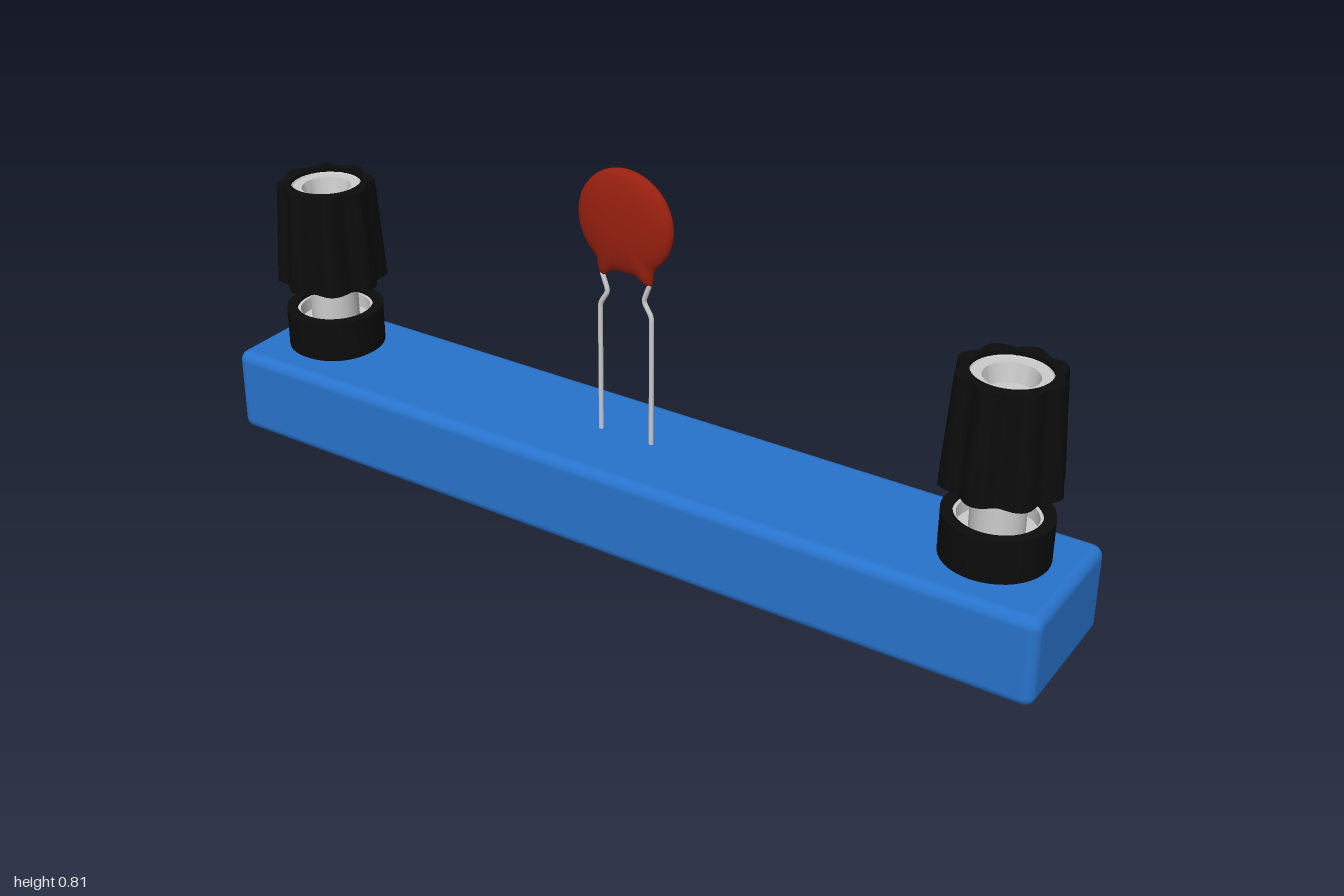
import * as THREE from 'three';
import { mergeVertices, toCreasedNormals } from 'three/addons/utils/BufferGeometryUtils.js';
import { RoundedBoxGeometry } from 'three/addons/geometries/RoundedBoxGeometry.js';

const blue = new THREE.MeshStandardMaterial({ color: 0x2873cc });
const black = new THREE.MeshStandardMaterial({ color: 0x0c0c0c });
const metal = new THREE.MeshStandardMaterial({ color: 0xcccccc });
const red = new THREE.MeshStandardMaterial({ color: 0x98200f });

const CENTER_Z = -0.003;

function part(name, geometry, material) {
  const mesh = new THREE.Mesh(geometry, material);
  mesh.name = name;
  return mesh;
}

// Lathe from [radius, y] pairs, listed bottom to top on the outside
function turned(points, segments = 40) {
  const g = new THREE.LatheGeometry(points.map(([r, y]) => new THREE.Vector2(r, y)), segments);
  return toCreasedNormals(g, 0.5);
}

// Fluted, tapering grip with a bore through it
function gripGeometry() {
  const y0 = 0.372, y1 = 0.607;
  const outline = [];
  const steps = 96;
  for (let i = 0; i < steps; i++) {
    const a = (i / steps) * Math.PI * 2;
    const lobe = Math.pow(0.5 + 0.5 * Math.cos(8 * (a + 0.05)), 0.8);
    const r = 0.108 + 0.017 * lobe;
    outline.push(new THREE.Vector2(r * Math.cos(a), r * Math.sin(a)));
  }
  const shape = new THREE.Shape(outline);
  shape.holes.push(new THREE.Path().absarc(0, 0, 0.09, 0, Math.PI * 2, true));
  const g = new THREE.ExtrudeGeometry(shape, { depth: y1 - y0, bevelEnabled: false, curveSegments: 24 });
  g.rotateX(-Math.PI / 2);
  const p = g.attributes.position;
  for (let i = 0; i < p.count; i++) {
    const s = 1 - 0.125 * p.getY(i) / (y1 - y0);
    p.setXYZ(i, p.getX(i) * s, p.getY(i) + y0, p.getZ(i) * s);
  }
  return toCreasedNormals(g, 0.6);
}

function bindingPost(name, x) {
  const post = new THREE.Group();
  post.name = name;
  post.add(
    part('collar', turned([
      [0, 0.2], [0.1, 0.2], [0.111, 0.207], [0.111, 0.301], [0.087, 0.301], [0.087, 0.26],
    ]), black),
    part('collarLining', turned([[0.087, 0.293], [0.08, 0.293], [0.08, 0.262], [0, 0.262]]), metal),
    part('shaft', new THREE.CylinderGeometry(0.055, 0.055, 0.17, 40).translate(0, 0.335, 0), metal),
    part('grip', gripGeometry(), black),
    part('gripUnderside', turned([[0.05, 0.364], [0.1, 0.372]]), black),
    part('gripInsert', turned([
      [0.081, 0.6], [0.077, 0.594], [0.055, 0.594], [0.048, 0.555], [0, 0.555],
    ]), metal),
  );
  post.position.set(x, 0, CENTER_Z);
  return post;
}

// Coated disc whose rim swells down over the two leads
function discGeometry() {
  const R = 0.115, halfThick = 0.028, n = 24;
  const points = [];
  for (let i = 0; i <= n; i++) {
    const t = -Math.PI / 2 + (i / n) * Math.PI;
    const r = i === 0 || i === n ? 0 : R * Math.pow(Math.cos(t), 0.85);
    points.push(new THREE.Vector2(r, halfThick * Math.sin(t)));
  }
  let g = new THREE.LatheGeometry(points, 96);
  g.rotateX(Math.PI / 2);
  const p = g.attributes.position;
  for (let i = 0; i < p.count; i++) {
    const x = p.getX(i), y = p.getY(i);
    const rim = Math.pow(Math.hypot(x, y) / R, 4);
    // Angle away from straight down, mirrored for both leads
    const off = (Math.abs(Math.atan2(x, -y)) - 0.43) / 0.13;
    const s = 1 + 0.27 * rim * Math.exp(-off * off);
    p.setXY(i, x * s, y * s);
  }
  g.deleteAttribute('uv');
  g.deleteAttribute('normal');
  g = mergeVertices(g, 1e-5);
  g.computeVertexNormals();
  return g;
}

// Kinked wire lead
function leadGeometry(side) {
  const corners = [[0.064, 0.18], [0.064, 0.5], [0.044, 0.532], [0.06, 0.575], [0.056, 0.61]]
    .map(([x, y]) => new THREE.Vector3(side * x, y, 0));
  const path = new THREE.CurvePath();
  let from = corners[0];
  for (let i = 1; i < corners.length - 1; i++) {
    const c = corners[i];
    const a = c.clone().add(corners[i - 1].clone().sub(c).setLength(0.01));
    const b = c.clone().add(corners[i + 1].clone().sub(c).setLength(0.01));
    path.add(new THREE.LineCurve3(from, a));
    path.add(new THREE.QuadraticBezierCurve3(a, c, b));
    from = b;
  }
  path.add(new THREE.LineCurve3(from, corners[corners.length - 1]));
  return new THREE.TubeGeometry(path, 90, 0.0055, 10);
}

export function createModel() {
  const model = new THREE.Group();
  model.name = 'capacitorOnBase';

  // Base block
  const base = part('base', new RoundedBoxGeometry(2, 0.2, 0.33, 3, 0.024), blue);
  base.position.y = 0.1;
  model.add(base);

  // Terminals at both ends
  model.add(bindingPost('leftTerminal', 0.833), bindingPost('rightTerminal', -0.835));

  // Disc capacitor
  const capacitor = new THREE.Group();
  capacitor.name = 'discCapacitor';
  const disc = part('disc', discGeometry(), red);
  disc.position.y = 0.7;
  capacitor.add(disc,
    part('leftLead', leadGeometry(1), metal),
    part('rightLead', leadGeometry(-1), metal));
  capacitor.position.set(-0.022, 0, CENTER_Z);
  model.add(capacitor);

  return model;
}
